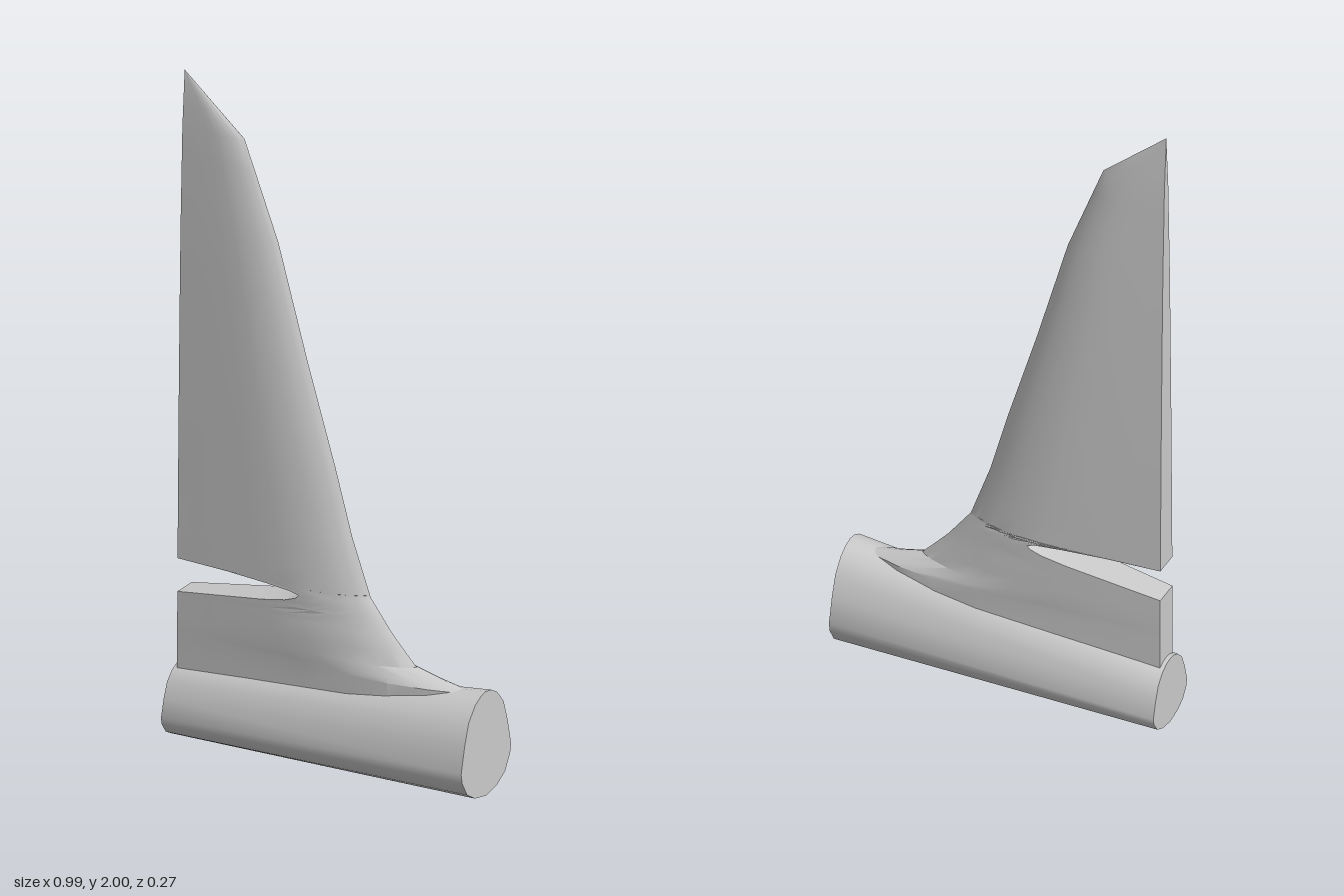
import * as THREE from 'three';
import { toCreasedNormals } from 'three/addons/utils/BufferGeometryUtils.js';

// Skin a list of closed rings (arrays of [x, y, z]) and cap both ends
function loft(rings) {
  const n = rings[0].length;
  const pos = rings.flat(2);
  const index = [];
  for (let r = 0; r < rings.length - 1; r++) {
    for (let i = 0; i < n; i++) {
      const a = r * n + i, b = r * n + (i + 1) % n;
      index.push(a, b, b + n, a, b + n, a + n);
    }
  }
  const last = (rings.length - 1) * n;
  for (let i = 1; i < n - 1; i++) {
    index.push(0, i + 1, i);
    index.push(last, last + i, last + i + 1);
  }
  const g = new THREE.BufferGeometry();
  g.setAttribute('position', new THREE.Float32BufferAttribute(pos, 3));
  g.setIndex(index);
  return toCreasedNormals(g, 0.5);
}

// Linear lookup in a list of [key, value] pairs
function lookup(table, k) {
  for (let i = 1; i < table.length; i++) {
    const [k0, v0] = table[i - 1], [k1, v1] = table[i];
    if (k <= k1) return THREE.MathUtils.lerp(v0, v1, (k - k0) / (k1 - k0));
  }
  return table[table.length - 1][1];
}

const REAR = -0.485;

// Leading edge x, by height
const leading = [
  [0.14, 0.45], [0.31, 0.45], [0.325, 0.37], [0.35, 0.27], [0.43, 0.195], [0.53, 0.12],
  [0.7, 0.06], [0.9, 0.005], [1.2, -0.085], [1.54, -0.18], [1.83, -0.29], [2, REAR],
];
// Greatest half thickness, by height
const thickness = [
  [0.14, 0.062], [0.35, 0.062], [0.6, 0.058], [1, 0.05], [1.5, 0.036], [1.83, 0.019], [2, 0],
];
// Relative thickness along the full chord, rear to front
const section = [
  [0, 0.66], [0.3, 0.85], [0.6, 1], [0.74, 0.95], [0.87, 0.7], [0.95, 0.38], [0.985, 0.16], [1, 0],
];
// Rows of [height, rear x]; the middle ones trace the slot
const rows = [
  ...[0.14, 0.25, 0.31, 0.325, 0.35, 0.39, 0.437].map((y) => [y, REAR]),
  [0.455, -0.36], [0.478, -0.2], [0.493, -0.125], [0.505, -0.09], [0.515, -0.08],
  [0.523, -0.11], [0.53, -0.19], [0.536, -0.32], [0.537, REAR],
  ...[0.6, 0.7, 0.8, 0.9, 1.05, 1.2, 1.37, 1.54, 1.65, 1.75, 1.83, 1.9, 2].map((y) => [y, REAR]),
];

function finRing([y, rear]) {
  const front = lookup(leading, y), t = lookup(thickness, y);
  const side = [0, 0.15, 0.3, 0.45, 0.6, 0.74, 0.81, 0.87, 0.91, 0.95, 0.985, 1].map((u) => {
    const x = THREE.MathUtils.lerp(rear, front, u);
    const chord = Math.max(front - REAR, 1e-6);
    return [x, y, t * lookup(section, Math.min(1, (x - REAR) / chord))];
  });
  const back = side.slice(0, -1).reverse().map(([x, yy, z]) => [x, yy, -z]);
  return [...side, ...back];
}

// Egg-shaped body outline: [half width, height], top to bottom
const outline = [
  [0, 1], [0.2, 0.985], [0.44, 0.93], [0.7, 0.8], [0.86, 0.6], [1, 0.35],
  [0.96, 0.26], [0.76, 0.12], [0.45, 0.04], [0, 0],
];

function bodyRing([x, halfWidth, bottom, top]) {
  const half = outline.map(([w, h]) => [x, THREE.MathUtils.lerp(bottom, top, h), w * halfWidth]);
  const mirror = half.slice(1, -1).reverse().map(([px, y, z]) => [px, y, -z]);
  return [...half, ...mirror];
}

export function createModel() {
  const group = new THREE.Group();
  group.name = 'tailFin';
  const material = new THREE.MeshStandardMaterial({ color: 0xcccccc });
  const add = (name, geometry) => {
    const mesh = new THREE.Mesh(geometry, material);
    mesh.name = name;
    group.add(mesh);
  };

  // Upright fin with its rear slot
  add('fin', loft(rows.map(finRing)));

  // Tapered body under the fin
  add('body', loft([[-0.497, 0.11, 0, 0.217], [0.495, 0.137, 0.01, 0.325]].map(bodyRing)));

  return group;
}
